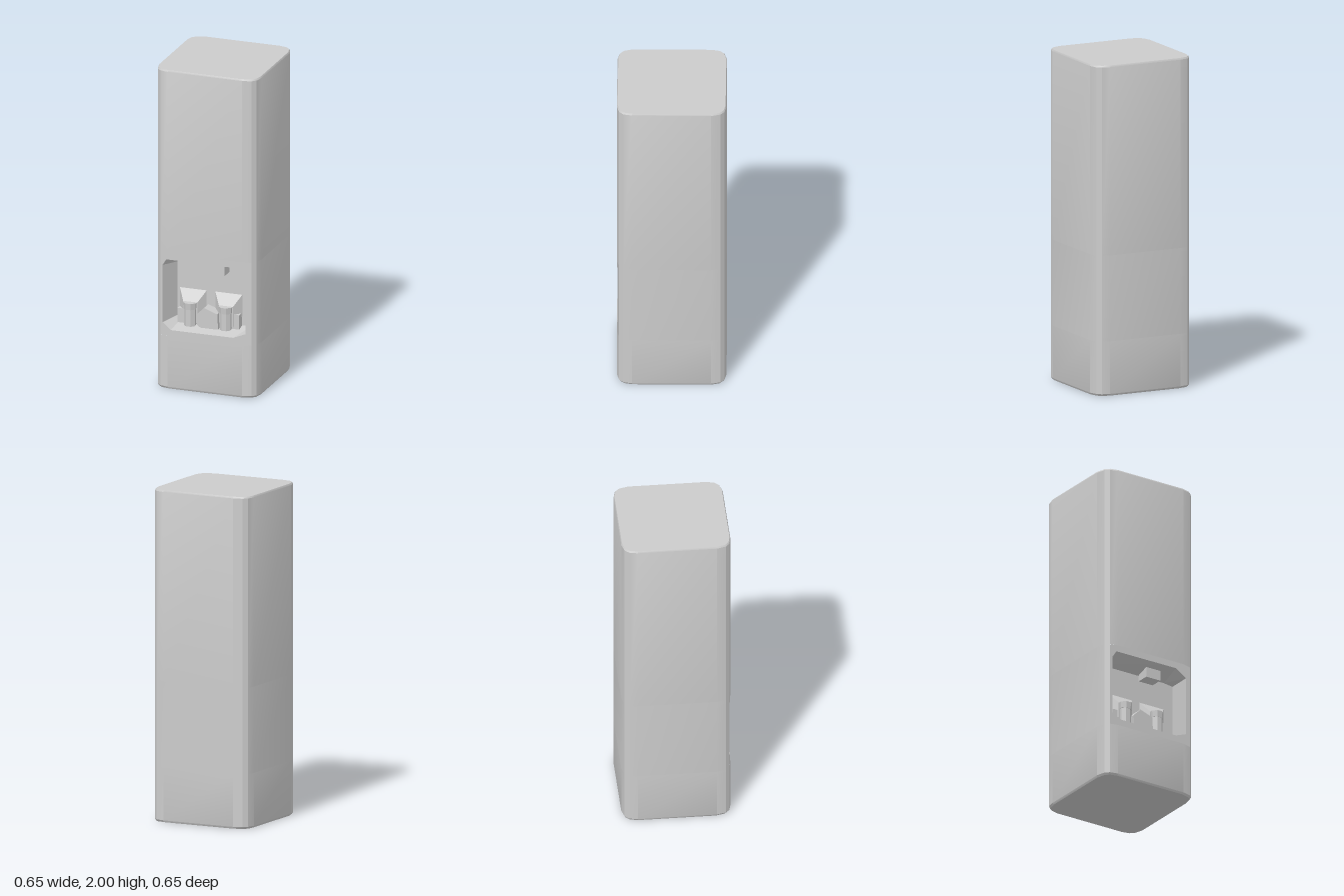
import * as THREE from 'three';
import { toCreasedNormals } from 'three/addons/utils/BufferGeometryUtils.js';

const grey = new THREE.MeshStandardMaterial({ color: 0xcccccc });

function add(parent, name, geometry, x = 0, y = 0, z = 0) {
  const mesh = new THREE.Mesh(geometry, grey);
  mesh.name = name;
  mesh.position.set(x, y, z);
  parent.add(mesh);
  return mesh;
}

// Skin a list of cross-sections; optional caps close the first and last one
function loft(rings, { closed = true, startCap = false, endCap = false, crease = 0.5 } = {}) {
  const pos = [];
  const tri = (...pts) => pts.forEach((p) => pos.push(...p));
  const n = rings[0].length;
  for (let r = 0; r < rings.length - 1; r++) {
    const a = rings[r], b = rings[r + 1];
    for (let i = 0; i < (closed ? n : n - 1); i++) {
      const j = (i + 1) % n;
      tri(a[i], a[j], b[j]);
      tri(a[i], b[j], b[i]);
    }
  }
  const first = rings[0], last = rings[rings.length - 1];
  for (let i = 1; i < n - 1; i++) {
    if (startCap) tri(first[0], first[i + 1], first[i]);
    if (endCap) tri(last[0], last[i], last[i + 1]);
  }
  const g = new THREE.BufferGeometry();
  g.setAttribute('position', new THREE.Float32BufferAttribute(pos, 3));
  return toCreasedNormals(g, crease);
}

// Rounded-square footprint: one corner turned four times
const corner = [[0.235, 0.325], [0.29, 0.31], [0.314, 0.285], [0.325, 0.235]];
const footprint = [];
for (let k = 0; k < 4; k++) {
  for (const [px, pz] of corner) {
    let x = px, z = pz;
    for (let t = 0; t < k; t++) [x, z] = [z, -x];
    footprint.push([x, z]);
  }
}
const ringAt = (y, s = 1) => footprint.map(([x, z]) => [x * s, y, z * s]);

// Depth of the cabinet front at a given x
function frontZ(x) {
  const over = Math.max(0, Math.abs(x) - 0.235);
  return 0.325 - over * (0.015 / 0.055);
}

const LOW = 0.33, HIGH = 0.85, BACK = 0.185;

export function createModel() {
  const model = new THREE.Group();
  model.name = 'waterDispenser';

  // Cabinet: closed bands below and above, open-fronted wall between
  const cabinet = new THREE.Group();
  cabinet.name = 'cabinet';
  model.add(cabinet);
  add(cabinet, 'lowerCabinet', loft([ringAt(0, 0.98), ringAt(0.012), ringAt(LOW)], { startCap: true }));
  add(cabinet, 'upperCabinet', loft([ringAt(HIGH), ringAt(1.99), ringAt(2, 0.985)], { endCap: true }));
  add(cabinet, 'middleWall', loft([ringAt(LOW).slice(1, -1), ringAt(HIGH).slice(1, -1)], { closed: false }));

  // Front panel with the alcove opening, following the rounded corners
  const opening = [[-0.245, 0.81], [0.18, 0.81], [0.255, 0.765], [0.255, 0.4],
    [0.18, 0.37], [-0.215, 0.37], [-0.27, 0.41], [-0.27, 0.77]];
  const panel = new THREE.Shape([[-0.29, LOW], [-0.235, LOW], [0.235, LOW], [0.29, LOW],
    [0.29, HIGH], [0.235, HIGH], [-0.235, HIGH], [-0.29, HIGH]].map((p) => new THREE.Vector2(...p)));
  panel.holes.push(new THREE.Path(opening.map((p) => new THREE.Vector2(...p))));
  const panelGeo = new THREE.ShapeGeometry(panel);
  const p = panelGeo.attributes.position;
  for (let i = 0; i < p.count; i++) p.setZ(i, frontZ(p.getX(i)));
  add(cabinet, 'frontPanel', panelGeo);

  // Alcove lining with sloping walls
  const alcove = new THREE.Group();
  alcove.name = 'alcove';
  model.add(alcove);
  const rear = [[-0.215, 0.768], [0.19, 0.768], [0.25, 0.76], [0.25, 0.41],
    [0.18, 0.4], [-0.2, 0.4], [-0.225, 0.42], [-0.225, 0.755]];
  add(alcove, 'alcoveLining', loft([
    rear.map(([x, y]) => [x, y, BACK]),
    opening.map(([x, y]) => [x, y, frontZ(x)]),
  ], { startCap: true, crease: 0.2 }));

  // Spout hanging from the alcove ceiling
  add(alcove, 'spout', new THREE.BoxGeometry(0.1, 0.075, 0.08), 0.055, 0.7675, 0.23);

  // Two stands: flared hopper on the back wall and a faceted post in front
  const quad = (h, y0, y1, z) => [[-h, y0, z], [h, y0, z], [h, y1, z], [-h, y1, z]];
  for (const [side, x] of [['right', -0.125], ['left', 0.1]]) {
    const stand = new THREE.Group();
    stand.name = side + 'Stand';
    stand.position.x = x;
    alcove.add(stand);
    add(stand, 'hopper', loft([quad(0.085, 0.46, 0.595, BACK), quad(0.045, 0.4, 0.53, 0.235)],
      { endCap: true, crease: 0.2 }));
    const post = toCreasedNormals(new THREE.CylinderGeometry(0.038, 0.038, 0.135, 8), 0.3);
    add(stand, 'post', post, 0, 0.4525, 0.235).rotation.y = Math.PI / 8;
    const collar = toCreasedNormals(new THREE.CylinderGeometry(0.044, 0.04, 0.04, 8), 0.3);
    add(stand, 'collar', collar, 0, 0.51, 0.235).rotation.y = Math.PI / 8;
    const out = Math.sign(x);
    add(stand, 'sideBlock', new THREE.BoxGeometry(0.045, 0.09, 0.05), out * 0.06, 0.435, 0.205);
  }

  // Faceted block between the stands
  const block = new THREE.Shape([[-0.075, 0.4], [-0.04, 0.375], [0.06, 0.385], [0.055, 0.48],
    [-0.03, 0.51], [-0.08, 0.46]].map((q) => new THREE.Vector2(...q)));
  add(alcove, 'centreBlock', new THREE.ExtrudeGeometry(block, { depth: 0.075, bevelEnabled: false }), 0, 0, BACK);

  return model;
}
